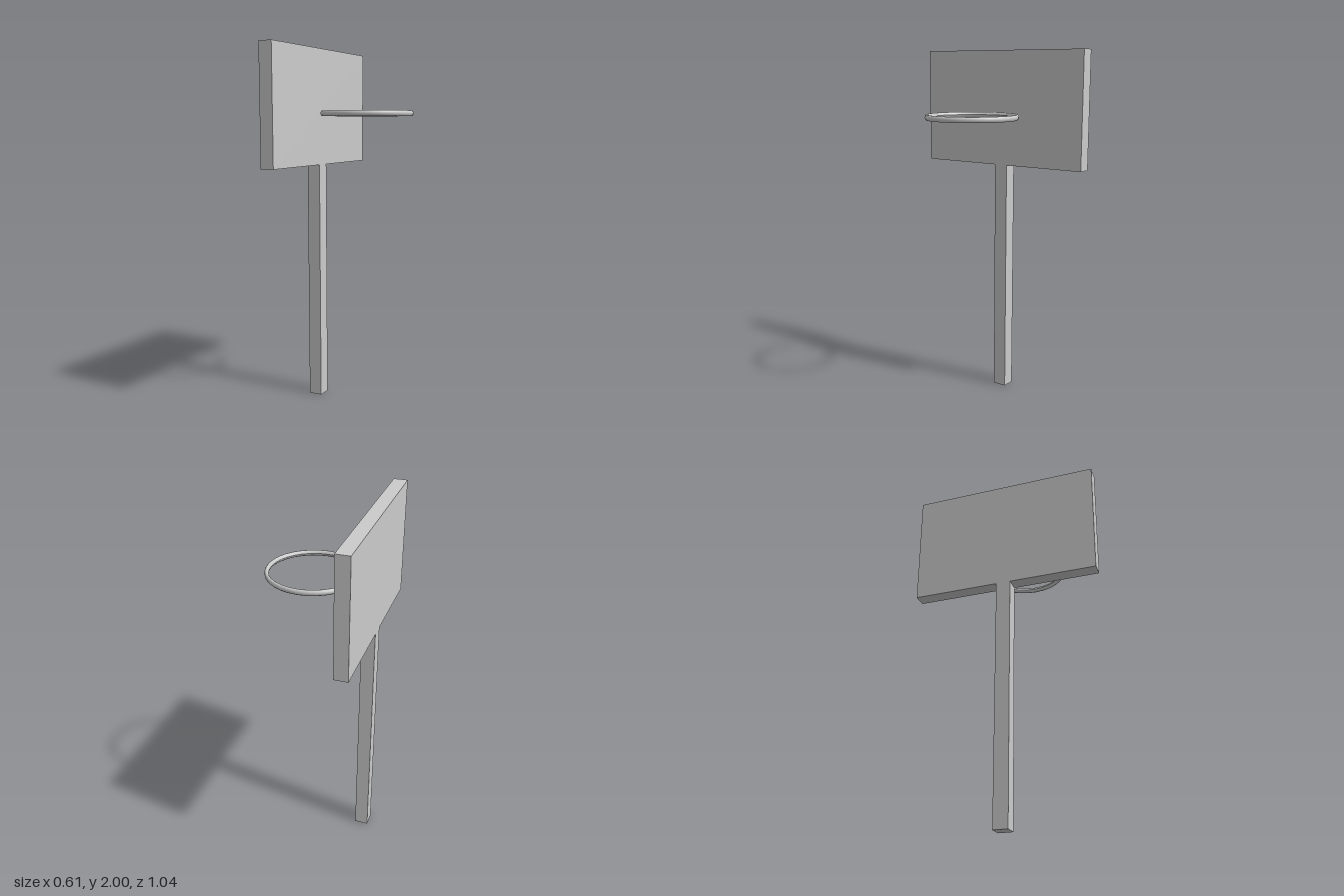
import * as THREE from 'three';

export function createModel() {
  const group = new THREE.Group();
  const material = new THREE.MeshStandardMaterial({ color: 0xcccccc });

  const add = (name, geometry, x, y, z) => {
    const mesh = new THREE.Mesh(geometry, material);
    mesh.name = name;
    mesh.position.set(x, y, z);
    group.add(mesh);
  };

  // Square pole and the backboard resting flush on top of it
  const depth = 0.076, boardX = -0.267, poleHeight = 1.355;
  add('pole', new THREE.BoxGeometry(depth, poleHeight, 0.08), boardX, poleHeight / 2, 0);
  add('backboard', new THREE.BoxGeometry(depth, 2 - poleHeight, 1.044), boardX, (2 + poleHeight) / 2, 0);

  // Short arm joining the board to the hoop
  const hoopX = 0.049, hoopY = 1.642;
  add('hoopBracket', new THREE.BoxGeometry(0.034, 0.026, 0.025), -0.214, hoopY, 0);

  // Hoop: a slightly tall oval section swept around a circle
  const section = [];
  for (let i = 0; i <= 10; i++) {
    const a = (i / 10) * Math.PI * 2 + Math.PI;
    section.push(new THREE.Vector2(0.244 + 0.0115 * Math.cos(a), 0.0155 * Math.sin(a)));
  }
  add('hoop', new THREE.LatheGeometry(section, 32), hoopX, hoopY, 0);

  return group;
}
